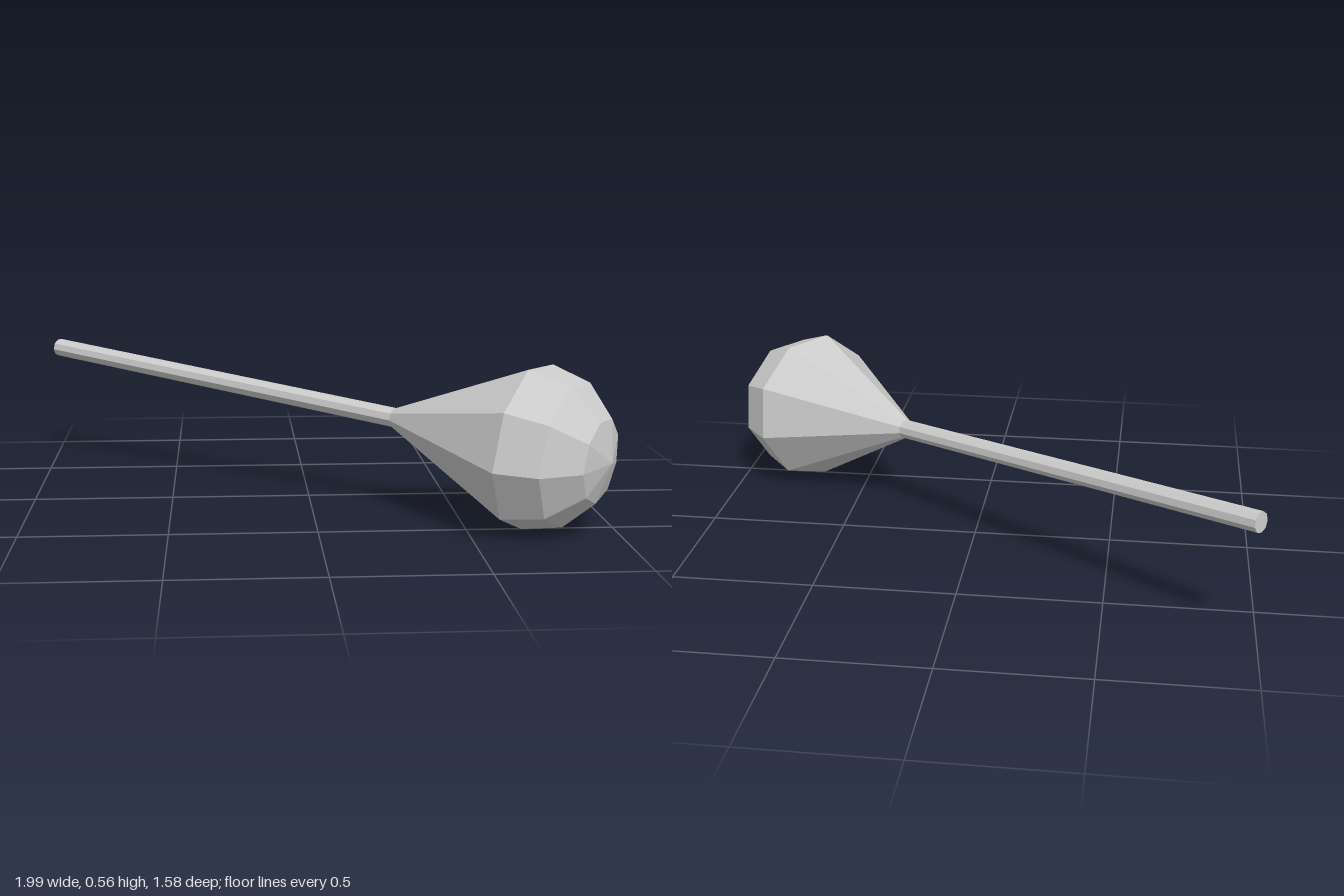
import * as THREE from 'three';

const SIDES = 9;
const PHASE = -2.5 * Math.PI / 180;

// Faceted turned part along +y from [radius, height] pairs
function turned(name, profile, material) {
  const points = profile.map(([r, h]) => new THREE.Vector2(r, h));
  const mesh = new THREE.Mesh(new THREE.LatheGeometry(points, SIDES, PHASE), material);
  mesh.name = name;
  return mesh;
}

export function createModel() {
  const model = new THREE.Group();
  model.name = 'shaker';
  const material = new THREE.MeshStandardMaterial({ color: 0xcccccc, flatShading: true });

  const handleEnd = new THREE.Vector3(-0.979, 0.457, -0.764);
  const neck = new THREE.Vector3(0.29, 0.335, 0.19);
  const length = handleEnd.distanceTo(neck);
  const handleRadius = 0.035;
  const headRadius = 0.287;
  const headCentre = length + 0.53;

  // Straight rod with a flat end cap
  const handle = turned('handle', [[0, 0], [handleRadius, 0], [handleRadius, length]], material);

  // Cone flaring from the rod, closed by a half sphere
  const headProfile = [[handleRadius, length]];
  const steps = 3;
  for (let i = 0; i <= steps; i++) {
    const a = (i / steps) * Math.PI / 2;
    const r = i === steps ? 0 : headRadius * Math.cos(a);
    headProfile.push([r, headCentre + headRadius * Math.sin(a)]);
  }
  const head = turned('head', headProfile, material);

  // Lay the turned axis along the slanted handle, one corner pointing down
  const shaker = new THREE.Group();
  shaker.name = 'shakerBody';
  shaker.add(handle, head);
  const axis = neck.clone().sub(handleEnd).normalize();
  const side = axis.clone().cross(new THREE.Vector3(0, -1, 0)).normalize();
  const down = side.clone().cross(axis);
  shaker.quaternion.setFromRotationMatrix(new THREE.Matrix4().makeBasis(side, axis, down));
  shaker.position.copy(handleEnd);
  model.add(shaker);
  return model;
}
